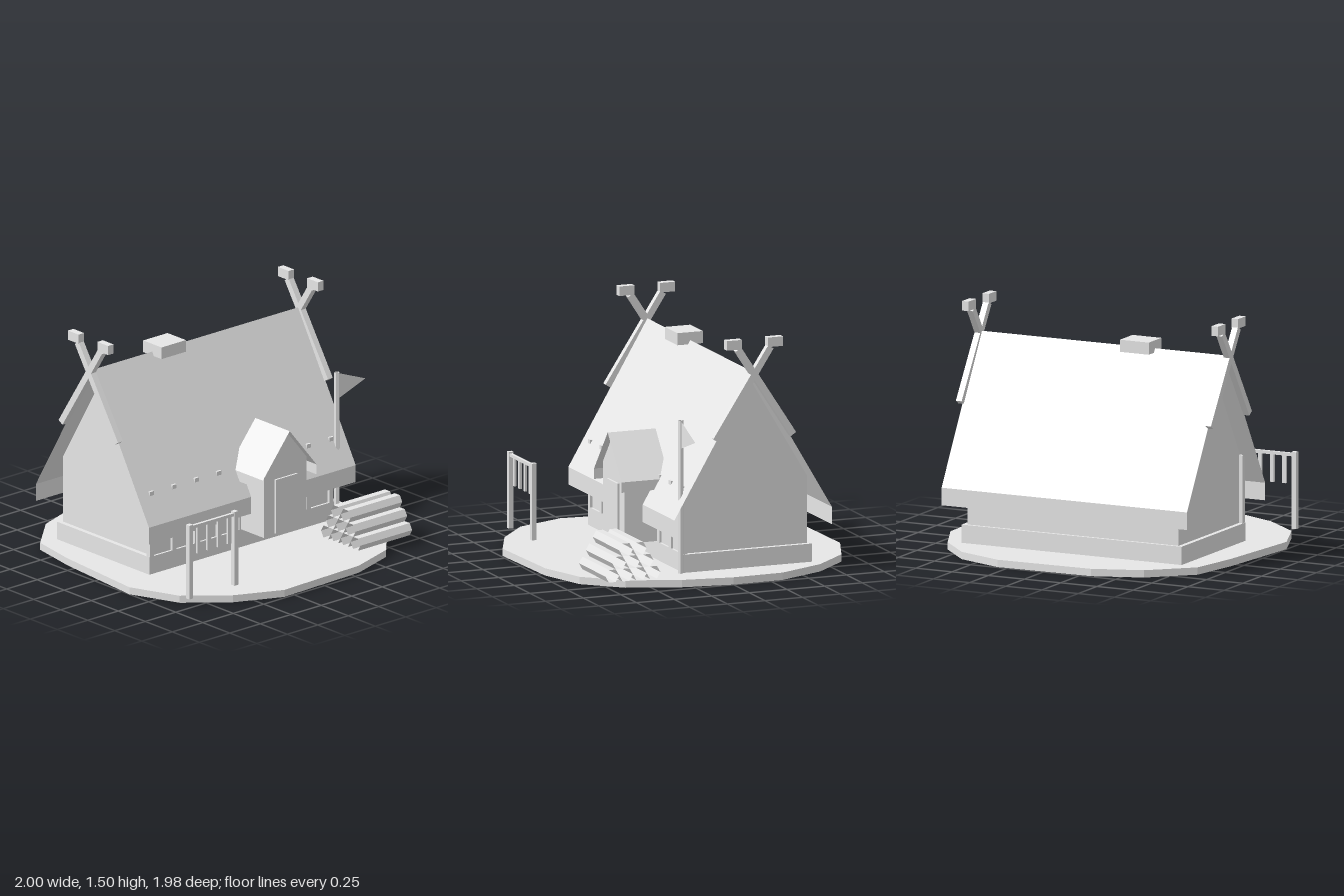
import * as THREE from 'three';

const stone = new THREE.MeshStandardMaterial({ color: 0xe7e7e7, side: THREE.DoubleSide, flatShading: true });
stone.name = 'lightGrey';

export function createModel() {
  const model = new THREE.Group();
  model.name = 'longhouse';

  function add(name, geometry, parent = model) {
    const mesh = new THREE.Mesh(geometry, stone);
    mesh.name = name;
    parent.add(mesh);
    return mesh;
  }
  function group(name) {
    const g = new THREE.Group();
    g.name = name;
    model.add(g);
    return g;
  }
  // geometry from a flat list of triangle corners
  function faces(pos) {
    const g = new THREE.BufferGeometry();
    g.setAttribute('position', new THREE.Float32BufferAttribute(pos, 3));
    g.computeVertexNormals();
    return g;
  }
  // box given by its limits on each axis
  function box(name, [x0, x1], [y0, y1], [z0, z1], parent) {
    const g = new THREE.BoxGeometry(x1 - x0, y1 - y0, z1 - z0);
    g.translate((x0 + x1) / 2, (y0 + y1) / 2, (z0 + z1) / 2);
    return add(name, g, parent);
  }
  // outline extruded along z from 0 to depth
  function prism(points, depth) {
    const shape = new THREE.Shape(points.map(([a, b]) => new THREE.Vector2(a, b)));
    return new THREE.ExtrudeGeometry(shape, { depth, bevelEnabled: false });
  }
  // thin folded sheet: a profile swept along z from 0 to depth
  function sheet(profile, depth) {
    const pos = [];
    for (let i = 0; i < profile.length - 1; i++) {
      const [ax, ay] = profile[i], [bx, by] = profile[i + 1];
      pos.push(ax, ay, 0, bx, by, depth, bx, by, 0, ax, ay, 0, ax, ay, depth, bx, by, depth);
    }
    return faces(pos);
  }
  // open shell through rectangular rings [y, half width, back z, front z]
  function rectShell(rings) {
    const loops = rings.map(([y, w, b, f]) => [[-w, y, f], [w, y, f], [w, y, b], [-w, y, b]]);
    const pos = [];
    for (let k = 0; k < loops.length - 1; k++) {
      for (let i = 0; i < 4; i++) {
        const j = (i + 1) % 4, lo = loops[k], hi = loops[k + 1];
        pos.push(...lo[i], ...lo[j], ...hi[j], ...lo[i], ...hi[j], ...hi[i]);
      }
    }
    return faces(pos);
  }
  // gabled outline centred on c
  const gable = (c, half, bottom, eave, apex) =>
    [[c - half, bottom], [c + half, bottom], [c + half, eave], [c, apex], [c - half, eave]];
  // roof profile with a vertical skirt at each eave
  const roofProfile = (c, half, skirt, eave, ridge) =>
    [[c - half, skirt], [c - half, eave], [c, ridge], [c + half, eave], [c + half, skirt]];

  // irregular ground slab
  const ground = 0.046;
  const outline = [[-0.32, -0.98], [0.32, -0.99], [0.63, -0.87], [0.845, -0.64], [0.985, -0.33], [0.995, 0],
    [0.945, 0.32], [0.825, 0.645], [0.62, 0.865], [0.31, 0.965], [-0.32, 0.987], [-0.62, 0.85], [-0.87, 0.64],
    [-1, 0.32], [-0.97, 0], [-0.94, -0.32], [-0.88, -0.64], [-0.63, -0.87]];
  add('ground', prism(outline.map(([x, z]) => [x, -z]), ground).rotateX(-Math.PI / 2));

  // foundation with a narrow ledge, walls and gable triangles
  const back = -0.6, front = 0.221, eave = 0.582, end = 0.73, apex = [1.27, -0.19];
  add('foundation', rectShell([[ground, 0.76, -0.62, 0.235], [0.16, 0.76, -0.62, 0.235], [0.16, end, back, front]]));
  add('houseWalls', rectShell([[0.16, end, back, front], [eave, end, back, front]]));
  add('leftGable', faces([end, eave, front, end, eave, back, end, ...apex]));
  add('rightGable', faces([-end, eave, back, -end, eave, front, -end, ...apex]));

  // main roof, ridge along x
  add('mainRoof', sheet(roofProfile(-0.193, 0.5235, 0.29, 0.4, 1.29), 1.695)
    .translate(0, 0, -0.8475).rotateY(-Math.PI / 2));
  box('smokeVent', [-0.357, -0.157], [1.264, 1.34], [-0.277, -0.107]);

  // front wall posts, their tops poking through the roof
  const posts = group('wallPosts');
  for (let i = 0; i < 9; i++) {
    const x = -0.74 + i * 0.184;
    box('wallPost', [x - 0.017, x + 0.017], [0.16, 0.585], [0.205, 0.237], posts);
  }

  // crossed gable beams with block heads
  const beams = group('gableBeams');
  for (const x of [-0.863, 0.858]) {
    for (const s of [-1, 1]) {
      const dz = -0.365, dy = 0.56;
      const beam = add('gableBeam', new THREE.BoxGeometry(0.04, Math.hypot(dz, dy), 0.042), beams);
      beam.position.set(x, 1.165, -0.191 + s * 0.075);
      beam.rotation.x = s * Math.atan2(dz, dy);
      const head = add('beamHead', new THREE.BoxGeometry(0.045, 0.06, 0.1), beams);
      head.position.set(x, 1.475, -0.191 + s * 0.136);
    }
  }

  // entrance porch with its own roof
  add('porchWalls', prism(gable(0.165, 0.175, 0.163, 0.61, 0.825), 0.25).translate(0, 0, 0.2));
  add('porchRoof', sheet(roofProfile(0.165, 0.22, 0.495, 0.56, 0.83), 0.318).translate(0, 0, 0.172));
  box('door', [0.075, 0.255], [0.175, 0.525], [0.44, 0.463]);

  // open flag pole standing through the eave
  const pole = add('flagPole', new THREE.CylinderGeometry(0.017, 0.017, 0.96, 6, 1, true));
  pole.position.set(0.762, 0.526, 0.253);
  add('flag', faces([0.77, 1.0, 0.253, 0.77, 0.83, 0.253, 0.995, 0.91, 0.253]));

  // drying rack with hanging strips
  const rack = group('dryingRack');
  for (const x of [-0.855, -0.485]) {
    box('rackPost', [x - 0.016, x + 0.016], [ground, 0.527], [0.698, 0.73], rack);
  }
  box('rackRail', [-0.845, -0.495], [0.498, 0.518], [0.704, 0.724], rack);
  for (let i = 0; i < 4; i++) {
    const x = -0.783 + i * 0.084;
    box('hangingStrip', [x - 0.013, x + 0.013], [0.325, 0.5], [0.707, 0.721], rack);
  }

  // stacked hollow logs, four, three and two
  const logs = group('logPile');
  const r = 0.0456;
  for (let row = 0; row < 3; row++) {
    for (let i = 0; i < 4 - row; i++) {
      const log = add('log', new THREE.CylinderGeometry(r, r, 0.424, 6, 1, true).rotateZ(Math.PI / 2), logs);
      log.position.set(0.677, 0.05 + r + row * r * Math.sqrt(3), 0.6235 + (2 * i - 3 + row) * r);
    }
  }
  return model;
}
